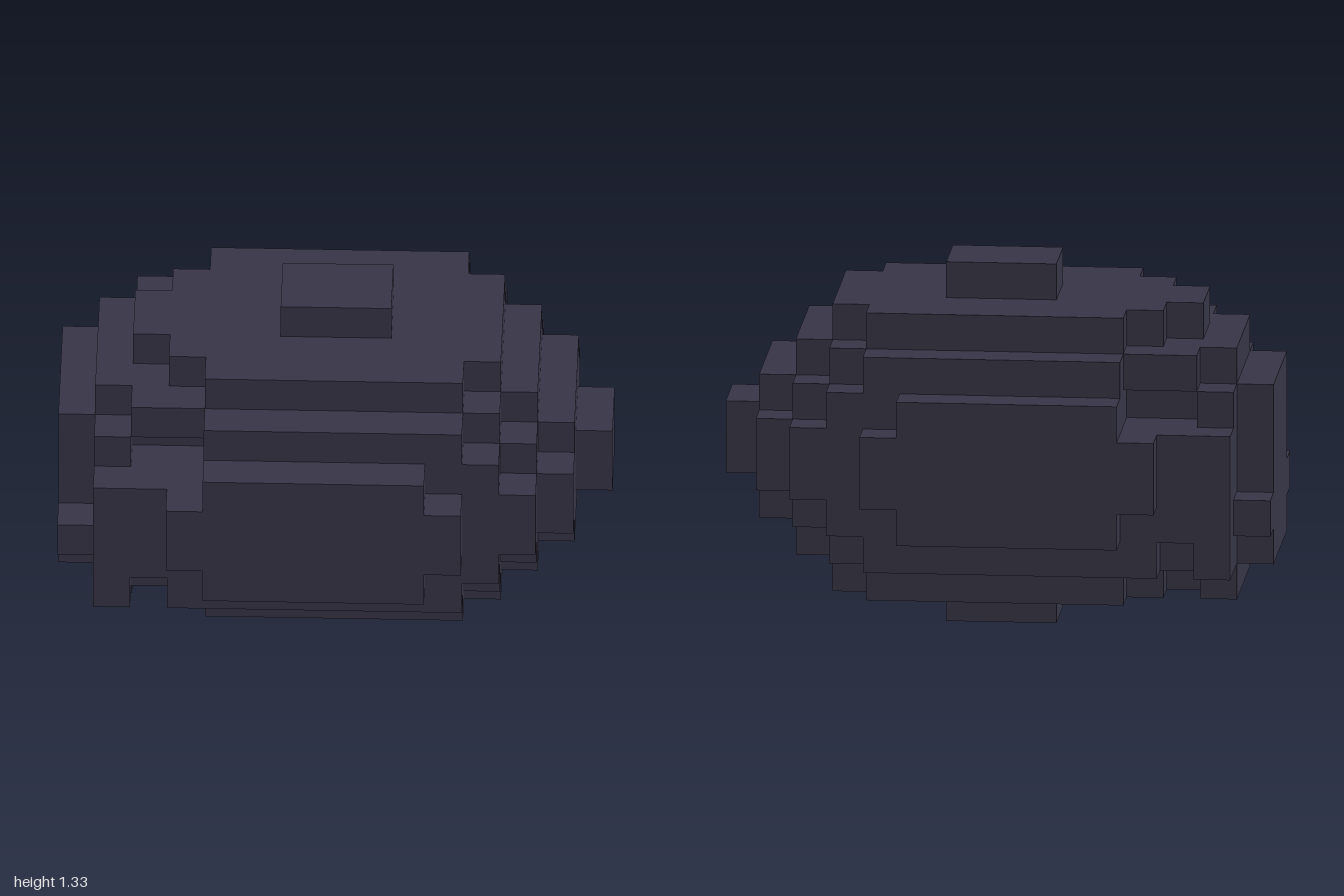
import * as THREE from 'three';

const CELL = 2 / 15;

// Each block: [x0, x1, y0, y1, half depth] in cells, centred on z
const PARTS = {
  topKnob: [[6, 9, 9, 10, 1]],
  bottomKnob: [[6, 9, 0, 1, 1]],
  nose: [[14, 15, 4, 6, 1]],
  core: [
    [2, 12, 1, 9, 1],
    [3, 12, 1, 9, 2],
    [1, 13, 2, 8, 2],
    [1, 14, 3, 7, 2],
  ],
  innerShell: [
    [4, 11, 1, 9, 3],
    [2, 12, 7, 8, 3],
    [4, 13, 6, 7, 3],
    [1, 14, 4, 6, 3],
    [1, 13, 3, 4, 3],
    [1, 12, 2, 3, 3],
  ],
  outerShell: [
    [4, 11, 7, 8, 4],
    [4, 12, 6, 7, 4],
    [1, 13, 4, 6, 4],
    [1, 12, 3, 4, 4],
    [3, 11, 2, 3, 4],
  ],
  sidePanels: [
    [3, 11, 4, 6, 5],
    [4, 10, 3, 7, 5],
  ],
  endPlate: [
    [0, 1, 2, 7, 2],
    [0, 1, 3, 4, 3],
    [1, 2, 1, 2, 2],
    [1, 2, 6, 7, 3],
    [1, 2, 2, 3, 4],
  ],
};

export function createModel() {
  const model = new THREE.Group();
  const slate = new THREE.MeshStandardMaterial({ color: 0x373546 });
  slate.name = 'darkSlate';

  for (const [name, blocks] of Object.entries(PARTS)) {
    const part = new THREE.Group();
    part.name = name;
    for (const [x0, x1, y0, y1, half] of blocks) {
      const block = new THREE.Mesh(
        new THREE.BoxGeometry((x1 - x0) * CELL, (y1 - y0) * CELL, 2 * half * CELL),
        slate
      );
      block.name = name + 'Block';
      block.position.set(((x0 + x1) / 2 - 7.5) * CELL, ((y0 + y1) / 2) * CELL, 0);
      part.add(block);
    }
    model.add(part);
  }
  return model;
}
